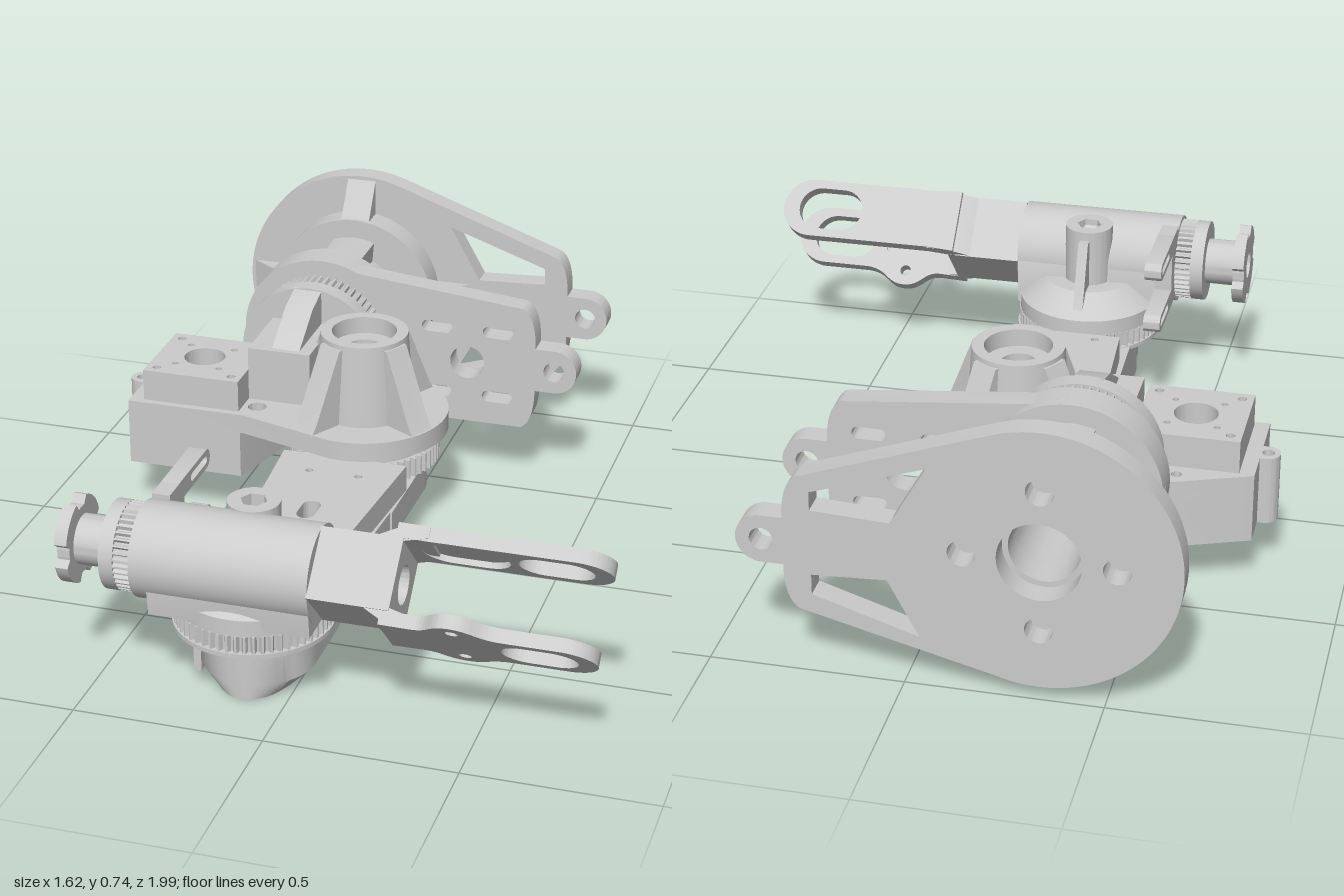
import * as THREE from 'three';
import { toCreasedNormals } from 'three/addons/utils/BufferGeometryUtils.js';

const mat = new THREE.MeshStandardMaterial({ color: 0xcccccc });
const TAU = Math.PI * 2;

function add(parent, name, geo, x = 0, y = 0, z = 0) {
  const m = new THREE.Mesh(toCreasedNormals(geo, 0.6), mat);
  m.name = name;
  m.position.set(x, y, z);
  parent.add(m);
}
const box = (p, n, x0, x1, y0, y1, z0, z1) =>
  add(p, n, new THREE.BoxGeometry(x1 - x0, y1 - y0, z1 - z0), (x0 + x1) / 2, (y0 + y1) / 2, (z0 + z1) / 2);

// Outlines
const poly = pts => new THREE.Shape(pts.map(p => new THREE.Vector2(...p)));
const disc = (x, y, r) => new THREE.Shape().absarc(x, y, r, 0, TAU);
function slot(x, y, len, r) {
  const h = len / 2 - r;
  return new THREE.Shape().absarc(x + h, y, r, -Math.PI / 2, Math.PI / 2).absarc(x - h, y, r, Math.PI / 2, Math.PI * 1.5);
}
function gearShape(r, teeth, depth, bore) {
  const pts = [];
  for (let i = 0; i < teeth * 4; i++) {
    const a = i / (teeth * 4) * TAU, q = i % 4 < 2 ? r : r - depth;
    pts.push([q * Math.cos(a), q * Math.sin(a)]);
  }
  return pierce(poly(pts), disc(0, 0, bore));
}
const pierce = (s, ...holes) => (s.holes.push(...holes), s);
const extrude = (s, depth) => new THREE.ExtrudeGeometry(s, { depth, bevelEnabled: false, curveSegments: 28 });
// Outline in (x, y), from z0 to z1
const plate = (p, n, s, z0, z1, x = 0, y = 0) => add(p, n, extrude(s, z1 - z0), x, y, z0);
// Outline in (x, z), from y0 to y1
const slab = (p, n, s, y0, y1, x = 0, z = 0) => add(p, n, extrude(s, y1 - y0).rotateX(Math.PI / 2), x, y1, z);
// Outline in (-z, y), from x0 to x1
const across = (p, n, s, x0, x1, y, z) => add(p, n, extrude(s, x1 - x0).rotateY(Math.PI / 2), x0, y, z);
const lathe = (p, n, pts, x, z) =>
  add(p, n, new THREE.LatheGeometry(pts.map(q => new THREE.Vector2(...q)), 48), x, 0, z);
// Sloped rib standing radially: profile (radius, height), thickness t
function rib(p, n, pts, t, angle) {
  const g = new THREE.Group();
  g.name = n;
  add(g, n, extrude(poly(pts), t), 0, 0, -t / 2);
  g.rotation.y = angle;
  p.add(g);
  return g;
}
// Disc drawn out to a tapered end with a hinge lug
function teardrop(cx, cy, r, a, top, bottom) {
  const s = new THREE.Shape();
  s.absarc(cx, cy, r, a, TAU - a);
  s.lineTo(0.26, bottom);
  s.quadraticCurveTo(0.3, bottom + 0.02, 0.3, 0.3);
  s.absarc(0.355, 0.365, 0.065, -Math.PI / 2, Math.PI / 2);
  s.lineTo(0.3, 0.43);
  s.quadraticCurveTo(0.3, top - 0.02, 0.26, top);
  s.closePath();
  return pierce(s, disc(0.355, 0.365, 0.03));
}

function base(g) {
  const cx = -0.335, cy = 0.39;
  const back = teardrop(cx, cy, 0.35, 1.25, 0.55, 0.18);
  pierce(back, disc(cx, cy, 0.105), poly([[-0.06, 0.61], [0.23, 0.51], [0.23, 0.46], [0.03, 0.45]]),
    poly([[-0.04, 0.14], [0.04, 0.29], [0.23, 0.28], [0.23, 0.225]]));
  for (let i = 0; i < 4; i++) {
    const a = i * TAU / 4;
    back.holes.push(disc(cx + 0.19 * Math.cos(a), cy + 0.19 * Math.sin(a), 0.035));
  }
  plate(g, 'backPlate', back, -1, -0.935);
  plate(g, 'backFlange', pierce(disc(cx, cy, 0.24), disc(cx, cy, 0.09)), -0.935, -0.855);
  // Ribs between back flange and plate
  const ribs = new THREE.Group();
  ribs.name = 'backRibs';
  for (let i = 0; i < 4; i++) rib(ribs, 'backRib', [[0.22, 0], [0.34, 0], [0.23, 0.075]], 0.085, i * TAU / 4);
  ribs.rotation.x = Math.PI / 2;
  ribs.position.set(cx, cy, -0.936);
  g.add(ribs);
  // Drum with four pockets
  const drum = new THREE.Shape();
  for (let i = 0; i < 4; i++) {
    const a = i * TAU / 4;
    drum.absarc(0, 0, 0.185, a - 0.34, a + 0.34);
    drum.absarc(0, 0, 0.13, a + 0.45, a + TAU / 4 - 0.45);
  }
  plate(g, 'drum', pierce(drum, disc(0, 0, 0.09)), -0.861, -0.634, cx, cy);
  plate(g, 'frontFlange', disc(cx, cy, 0.235), -0.635, -0.604);
  const front = teardrop(cx, cy, 0.235, 1.1, 0.55, 0.18);
  pierce(front, disc(0.1, 0.365, 0.05));
  for (const x of [0.01, 0.19]) for (const y of [0.265, 0.465]) front.holes.push(slot(x, y, 0.09, 0.017));
  plate(g, 'frontPlate', front, -0.605, -0.54);
}

function shoulder(g) {
  const cx = -0.335, cy = 0.39;
  plate(g, 'bearing', disc(cx, cy, 0.12), -0.541, -0.455);
  plate(g, 'shoulderGear', gearShape(0.2, 60, 0.01, 0.1), -0.515, -0.46, cx + 0.01, cy);
  plate(g, 'gearBacking', disc(cx + 0.005, cy, 0.203), -0.46, -0.41);
  // Carrier block and sloped fin behind the gear
  box(g, 'gearCarrier', -0.44, -0.26, 0.29, 0.49, -0.42, -0.19);
  across(g, 'gearFin', poly([[0.42, 0.4], [0.42, 0.59], [0.33, 0.565], [0.2, 0.485], [0.2, 0.4]]), -0.375, -0.295, 0, 0);
  // Mounting deck and motor housing
  const ox = -0.113, oz = -0.232, motorBore = disc(-0.585, -0.235, 0.058);
  const deck = new THREE.Shape().moveTo(-0.76, -0.08).lineTo(-0.76, -0.37).lineTo(-0.53, -0.46).lineTo(-0.2, -0.46);
  deck.absarc(ox, oz, 0.235, -1.8, 1.7).lineTo(-0.42, -0.08);
  pierce(deck, motorBore, disc(-0.4, -0.145, 0.026), disc(-0.565, -0.405, 0.014), disc(ox, oz, 0.046));
  slab(g, 'deck', deck, 0.28, 0.335);
  slab(g, 'motorHousing', pierce(poly([[-0.76, -0.08], [-0.76, -0.37], [-0.53, -0.46], [-0.34, -0.46], [-0.34, -0.4],
    [-0.43, -0.08]]), motorBore, disc(-0.565, -0.405, 0.014)), 0.145, 0.281);
  slab(g, 'cableLug', pierce(slot(-0.765, -0.24, 0.09, 0.034), disc(-0.778, -0.24, 0.016)), 0.145, 0.335);
  const mount = pierce(poly([[-0.72, -0.365], [-0.44, -0.365], [-0.44, -0.1], [-0.72, -0.1]]), motorBore);
  for (const x of [-0.69, -0.47]) for (const z of [-0.335, -0.13]) mount.holes.push(disc(x, z, 0.012));
  for (const x of [-0.65, -0.52]) for (const z of [-0.3, -0.17]) mount.holes.push(disc(x, z, 0.009));
  slab(g, 'motorMount', mount, 0.334, 0.425);
  // Hollow tower with four ribs
  lathe(g, 'tower', [[0.046, 0.29], [0.14, 0.29], [0.138, 0.335], [0.122, 0.568], [0.09, 0.568],
    [0.09, 0.52], [0.046, 0.52], [0.046, 0.29]], ox, oz);
  for (const a of [60, 150, 240, 330].map(d => d * Math.PI / 180))
    rib(g, 'towerRib', [[0.1, 0.33], [0.232, 0.33], [0.215, 0.36], [0.128, 0.555], [0.1, 0.555]], 0.075, a).position.set(ox, 0, oz);
  slab(g, 'towerGear', gearShape(0.21, 60, 0.012, 0.05), 0.195, 0.25, ox, oz);
  slab(g, 'towerSpacer', pierce(disc(ox, oz, 0.19), disc(ox, oz, 0.05)), 0.249, 0.285);
}

function link(g) {
  const cx = -0.115, top = 0.188;
  // Rounded shoulder end with a through bore, chamfered underneath and flat on top
  const head = new THREE.Shape().absarc(cx, -0.22, 0.18, Math.PI, TAU).lineTo(cx + 0.177, 0.09).lineTo(cx - 0.177, 0.09);
  const headGeo = new THREE.ExtrudeGeometry(pierce(head, disc(cx, -0.232, 0.046)), {
    depth: top - 0.105, bevelThickness: 0.045, bevelSize: 0.045, bevelOffset: -0.045, bevelSegments: 1, curveSegments: 28,
  }).rotateX(Math.PI / 2).translate(0, top, 0);
  const hp = headGeo.attributes.position;
  for (let i = 0; i < hp.count; i++) hp.setY(i, Math.min(hp.getY(i), top));
  add(g, 'linkShoulderEnd', headGeo);
  // Cross-sections swept along z to the rounded elbow end
  const N = 36, z0 = 0, z1 = 0.83, pos = [], idx = [];
  for (let i = 0; i <= N; i++) {
    const z = z0 + (z1 - z0) * Math.sin(i / N * Math.PI / 2);
    let w = THREE.MathUtils.lerp(0.18, 0.15, THREE.MathUtils.smoothstep(z, -0.22, 0.68));
    if (z > 0.68) w = Math.sqrt(Math.max(0, 0.0225 - (z - 0.68) ** 2));
    w = Math.max(w, 0.012);
    const b = 0.06 - 0.056 * THREE.MathUtils.smoothstep(z, 0.08, 0.6);
    const c = b + 0.045, v = Math.max(w - 0.045, w * 0.66);
    for (const [x, y] of [[-w, top], [w, top], [w, c], [v, b], [-v, b], [-w, c]]) pos.push(x + cx, y, z);
  }
  for (let i = 0; i < N; i++) for (let j = 0; j < 6; j++) {
    const a = i * 6 + j, b = i * 6 + (j + 1) % 6;
    idx.push(a, a + 6, b, b, a + 6, b + 6);
  }
  for (let j = 1; j < 5; j++) idx.push(0, j, j + 1, N * 6, N * 6 + j + 1, N * 6 + j);
  const geo = new THREE.BufferGeometry();
  geo.setAttribute('position', new THREE.Float32BufferAttribute(pos, 3));
  geo.setIndex(idx);
  add(g, 'linkBody', geo);
  // Lid with cable slot and screw holes
  const lid = poly([[-0.29, -0.05], [0.062, -0.05], [0.022, 0.475], [-0.252, 0.475]]);
  pierce(lid, new THREE.Shape().absarc(cx, 0.295, 0.025, 0, Math.PI).absarc(cx, 0.245, 0.025, Math.PI, TAU));
  for (const z of [0.05, 0.445]) for (const s of [-1, 1]) lid.holes.push(disc(cx + s * 0.07, z, 0.011));
  slab(g, 'linkLid', lid, 0.18, 0.262);
  lathe(g, 'pivotBoss', [[0.046, 0.015], [0.085, 0.015], [0.105, 0.065], [0.046, 0.065], [0.046, 0.015]], cx, -0.232);
  box(g, 'sideClip', -0.25, -0.23, 0.05, 0.165, 0.6, 0.8);
}

function elbow(g) {
  const cx = -0.115, cz = 0.715;
  slab(g, 'elbowRim', disc(cx, cz, 0.208), 0.178, 0.19);
  slab(g, 'elbowGear', gearShape(0.204, 56, 0.012, 0.04), 0.185, 0.236, cx, cz);
  lathe(g, 'elbowTurntable', [[0, 0.235], [0.2, 0.235], [0.2, 0.28], [0.13, 0.34], [0, 0.34]], cx, cz);
  slab(g, 'elbowPost', pierce(disc(cx, 0.7, 0.068), poly([0, 1, 2, 3, 4, 5].map(i =>
    [cx + 0.035 * Math.cos(i * TAU / 6), 0.7 + 0.035 * Math.sin(i * TAU / 6)]))), 0.3, 0.505);
  across(g, 'postFin', poly([[-0.64, 0.27], [-0.525, 0.27], [-0.54, 0.3], [-0.61, 0.48], [-0.64, 0.48]]),
    cx - 0.014, cx + 0.014, 0, 0);
  // Forearm barrel along x, on a saddle
  const ay = 0.38, az = 0.795;
  across(g, 'barrel', pierce(disc(0, 0, 0.125), disc(0, 0, 0.045)), -0.37, 0.092, ay, az);
  const saddle = poly([[-0.1, -0.13], [0.125, -0.13], [0.125, 0], [0.1, 0.06], [-0.1, 0.06], [-0.115, 0]]);
  across(g, 'barrelSaddle', pierce(saddle, disc(0, 0, 0.05)), -0.33, 0.09, ay, az);
  // Two slotted sensor prongs at the rear
  for (const y of [0.32, 0.48])
    across(g, 'slottedProng', pierce(slot(-0.57, 0, 0.24, 0.026), slot(-0.53, 0, 0.12, 0.011)), -0.37, -0.322, y, 0);
  box(g, 'prongMount', -0.37, -0.322, 0.295, 0.505, 0.64, 0.74);
  // Roll drive
  across(g, 'rollGear', gearShape(0.115, 40, 0.01, 0.04), -0.415, -0.369, ay, az);
  across(g, 'rollFlange', pierce(disc(0, 0, 0.115), disc(0, 0, 0.04)), -0.452, -0.415, ay, az);
  across(g, 'rollHub', pierce(disc(0, 0, 0.065), disc(0, 0, 0.04)), -0.54, -0.45, ay, az);
  const end = new THREE.Shape();
  for (let i = 0; i < 4; i++) {
    const a = i * TAU / 4 + TAU / 8;
    end.absarc(0, 0, 0.113, a - 0.5, a + 0.5);
    end.absarc(0, 0, 0.09, a + 0.6, a + TAU / 4 - 0.6);
  }
  across(g, 'rollEndPlate', pierce(end, disc(0, 0, 0.04)), -0.57, -0.537, ay, az);
}

function gripper(g) {
  g.position.set(0, 0.38, 0.795);
  g.rotation.x = -Math.PI / 4;
  // Square wrist with a bore
  const w = 0.093, fingerSlot = slot(0.665, 0, 0.19, 0.063);
  across(g, 'wrist', pierce(poly([[-w, -w], [w, -w], [w, w], [-w, w]]), disc(0, 0, 0.05)), 0.09, 0.3, 0, 0);
  // Fixed jaw with an inner lip around a recess
  const fixed = () => new THREE.Shape().moveTo(0.28, -w).lineTo(0.36, -0.088).lineTo(0.72, -0.088)
    .absarc(0.72, 0, 0.088, -Math.PI / 2, Math.PI / 2).lineTo(0.36, 0.088).lineTo(0.28, w);
  slab(g, 'fixedJaw', pierce(fixed(), fingerSlot), 0.108, 0.13);
  slab(g, 'fixedJawLip', pierce(fixed(), fingerSlot, slot(0.44, 0, 0.22, 0.07)), 0.092, 0.1085);
  // Moving jaw with two eared pivots, recessed on the inside
  const moving = () => new THREE.Shape().moveTo(0.28, -w).lineTo(0.36, -0.09)
    .bezierCurveTo(0.41, -0.09, 0.41, -0.135, 0.465, -0.135).bezierCurveTo(0.52, -0.135, 0.52, -0.088, 0.59, -0.088)
    .lineTo(0.72, -0.088).absarc(0.72, 0, 0.088, -Math.PI / 2, Math.PI / 2).lineTo(0.59, 0.088)
    .bezierCurveTo(0.52, 0.088, 0.52, 0.148, 0.465, 0.148).bezierCurveTo(0.41, 0.148, 0.41, 0.09, 0.36, 0.09).lineTo(0.28, w);
  const pins = [disc(0.465, 0.105, 0.016), disc(0.465, -0.09, 0.016)];
  slab(g, 'movingJaw', pierce(moving(), fingerSlot, ...pins), -0.13, -0.112);
  slab(g, 'movingJawLip', pierce(moving(), fingerSlot, ...pins, slot(0.44, 0, 0.2, 0.058)), -0.1125, -0.094);
  // Jaw roots flaring out from the wrist
  for (const s of [-1, 1]) {
    const pts = [[0.22, 0.085], [0.3, 0.085], [0.36, 0.1], [0.36, 0.126], [0.3, 0.126]];
    plate(g, 'jawRoot', poly(pts.map(([x, y]) => [x, s * y])), -0.09, 0.09);
  }
}

export function createModel() {
  const root = new THREE.Group();
  root.name = 'robotArm';
  for (const [name, build] of Object.entries({ base, shoulder, link, elbow, gripper })) {
    const g = new THREE.Group();
    g.name = name;
    build(g);
    root.add(g);
  }
  return root;
}
